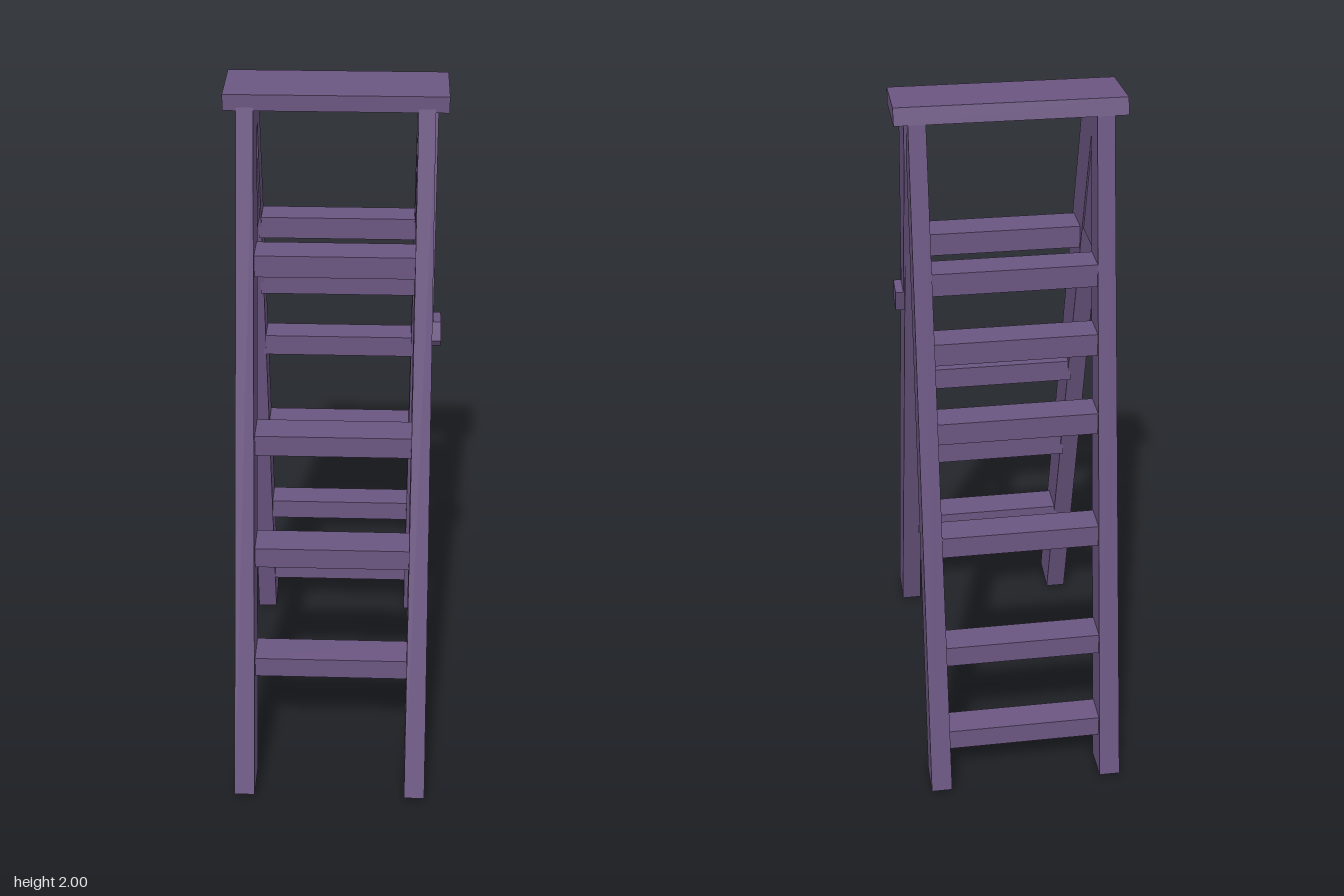
import * as THREE from 'three';

const paint = new THREE.MeshStandardMaterial({ color: 0x6b5681 });
paint.name = 'purple paint';

// Side outline given as [z, y] points, extruded across x from x0 to x1
function slab(name, points, x0, x1) {
  const shape = new THREE.Shape(points.map(([z, y]) => new THREE.Vector2(-z, y)));
  const geometry = new THREE.ExtrudeGeometry(shape, { depth: x1 - x0, bevelEnabled: false });
  geometry.rotateY(Math.PI / 2).translate(x0, 0, 0);
  const mesh = new THREE.Mesh(geometry, paint);
  mesh.name = name;
  return mesh;
}

// Leg whose outer face leans slightly inward towards the top
function leg(name, points, side) {
  const mesh = slab(name, points, side < 0 ? -0.282 : 0.222, side < 0 ? -0.222 : 0.282);
  const pos = mesh.geometry.attributes.position;
  for (let i = 0; i < pos.count; i++) {
    if (Math.abs(pos.getX(i)) > 0.25) pos.setX(i, side * (0.282 - 0.007 * pos.getY(i)));
  }
  mesh.geometry.computeVertexNormals();
  return mesh;
}

function rung(name, y, z, depth) {
  const mesh = new THREE.Mesh(new THREE.BoxGeometry(0.46, 0.064, depth), paint);
  mesh.name = name;
  mesh.position.set(0, y, z);
  return mesh;
}

export function createModel() {
  const ladder = new THREE.Group();
  ladder.name = 'stepladder';

  // Top platform
  ladder.add(slab('topPlatform', [[-0.012, 1.992], [-0.2, 2], [-0.212, 1.955], [-0.012, 1.947]], -0.305, 0.305));

  // Splayed legs
  for (const side of [-1, 1]) {
    const label = side < 0 ? 'right' : 'left';
    ladder.add(leg(label + 'FrontLeg', [[0.545, 0.025], [0.42, 0.015], [-0.16, 1.96], [-0.013, 1.96]], side));
    ladder.add(leg(label + 'BackLeg', [[-0.43, 0], [-0.54, 0.012], [-0.208, 1.96], [-0.122, 1.96]], side));
  }

  // Front treads and back rungs
  [[0.39, 0.353], [0.715, 0.26], [1.035, 0.165], [1.533, 0.033]]
    .forEach(([y, z], i) => ladder.add(rung('frontTread' + (i + 1), y, z, 0.097)));
  [[0.165, -0.455], [0.44, -0.415], [0.78, -0.358], [1.115, -0.3], [1.34, -0.262], [1.533, -0.232]]
    .forEach(([y, z], i) => ladder.add(rung('backRung' + (i + 1), y, z, 0.086)));

  // Gusset joining the legs on the right side
  ladder.add(slab('gusset', [[-0.03, 1.57], [-0.18, 1.57], [-0.15, 1.95], [-0.08, 1.95]], -0.25, -0.226));

  // Tapered strap and its end block on the left side
  ladder.add(slab('strap', [[0.105, 1.35], [0.035, 1.35], [-0.048, 1.57], [-0.145, 1.81],
    [-0.165, 1.95], [-0.02, 1.95], [0.03, 1.7]], 0.25, 0.276));
  ladder.add(slab('strapBlock', [[0.118, 1.33], [0.1, 1.38], [0.025, 1.375], [0.045, 1.31], [0.105, 1.31]], 0.265, 0.298));

  return ladder;
}
